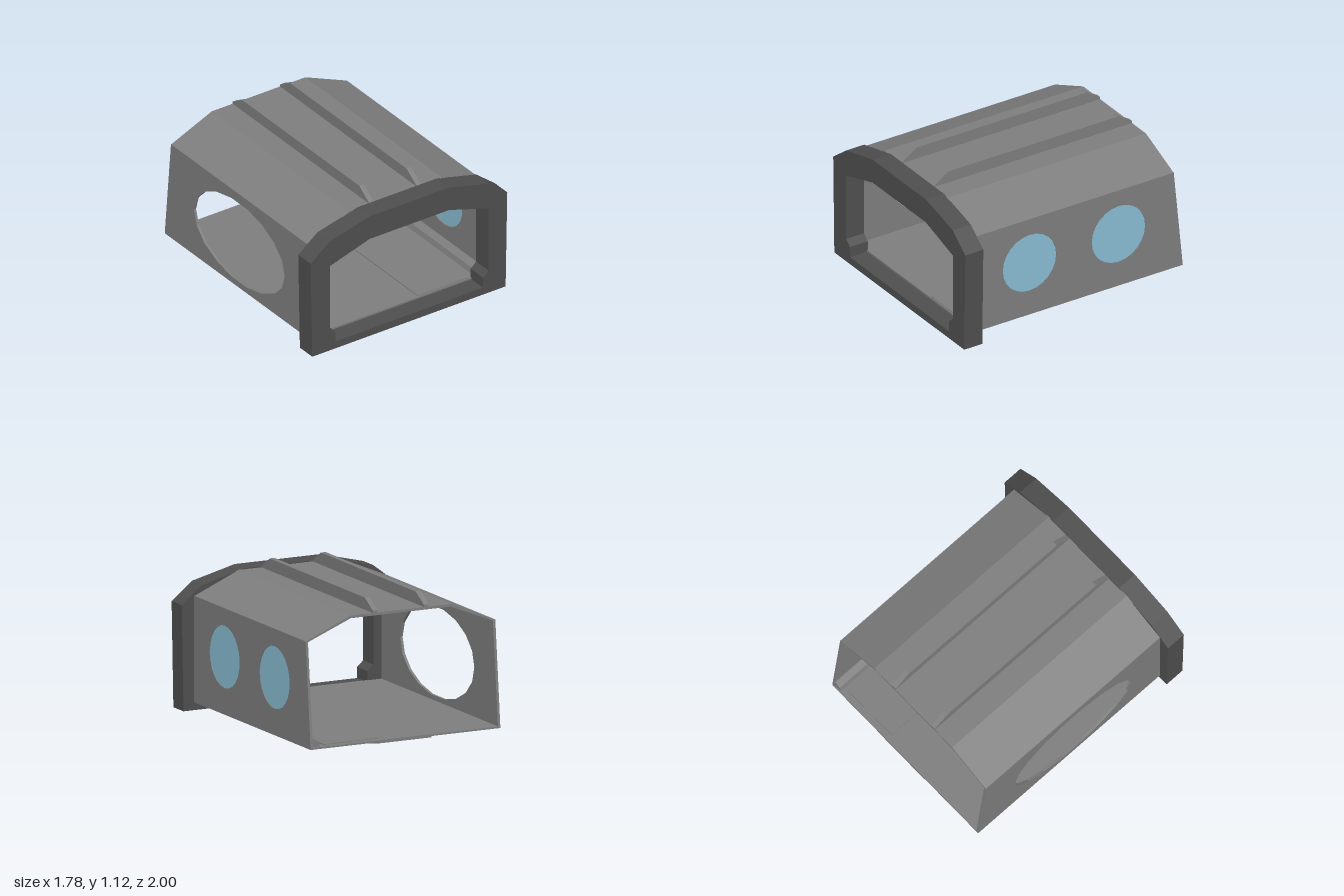
import * as THREE from 'three';

export function createModel() {
  const model = new THREE.Group();
  const mat = (name, color) => {
    const m = new THREE.MeshStandardMaterial({ color });
    m.name = name;
    return m;
  };
  const hull = mat('hull grey', 0x7e7e7e);
  const dark = mat('frame dark grey', 0x4f4f4f);
  const glass = mat('window blue', 0x89bcd2);

  const add = (name, geometry, material) => {
    const mesh = new THREE.Mesh(geometry, material);
    mesh.name = name;
    model.add(mesh);
    return mesh;
  };
  const vectors = pts => pts.map(([x, y]) => new THREE.Vector2(x, y));
  const oval = (cx, cy, rx, ry, n) => Array.from({ length: n }, (_, i) => {
    const a = (i / n) * Math.PI * 2;
    return [cx + rx * Math.cos(a), cy + ry * Math.sin(a)];
  });
  // Extrude an outline with polygonal holes
  const extrude = (pts, depth, holes = []) => {
    const shape = new THREE.Shape(vectors(pts));
    shape.holes = holes.map(h => new THREE.Path(vectors(h)));
    return new THREE.ExtrudeGeometry(shape, { depth, bevelEnabled: false });
  };
  // Outline given in (x, y), running from z0 to z1
  const alongZ = (pts, z0, z1, holes) => extrude(pts, z1 - z0, holes).translate(0, 0, z0);
  // Outline given in (z, y), running from x0 to x1
  const alongX = (pts, x0, x1, holes) =>
    extrude(pts, x1 - x0, holes).rotateY(-Math.PI / 2).translate(x1, 0, 0);

  // Front frame with chamfered arch and notched lower corners
  add('frontFrame', alongZ(
    [[-0.88, 0], [0.875, 0], [0.89, 0.81], [0.72, 0.945], [0.36, 1.035],
      [-0.36, 1.035], [-0.72, 0.945], [-0.895, 0.81]],
    0.84, 1,
    [[[-0.67, 0.06], [-0.67, 0.145], [-0.72, 0.19], [-0.72, 0.73], [-0.36, 0.84],
      [0.36, 0.84], [0.72, 0.73], [0.72, 0.19], [0.67, 0.145], [0.67, 0.06]]]), dark);

  // Side walls with a raked rear edge: two windows on the left, a doorway on the right
  const wall = [[-1, 0.06], [0.845, 0.06], [0.845, 0.87], [-0.92, 0.87]];
  const windows = [0.36, -0.43].map(z => oval(z, 0.5, 0.238, 0.238, 24));
  add('leftWall', alongX(wall, 0.765, 0.785, windows), hull);
  windows.forEach(w => add('window', alongX(w, 0.773, 0.781), glass));
  add('rightWall', alongX(wall, -0.81, -0.79, [oval(-0.04, 0.45, 0.585, 0.345, 18)]), hull);

  // Roof shell, open underneath
  add('roof', alongZ(
    [[0.785, 0.868], [0.41, 1.027], [-0.44, 1.027], [-0.81, 0.868],
      [-0.79, 0.862], [-0.435, 1.007], [0.405, 1.007], [0.765, 0.862]],
    -0.92, 0.845), hull);

  // Two roof rails with sloping ends
  for (const x of [-0.23, 0.2]) {
    add('roofRail', alongX(
      [[0.845, 1.02], [0.845, 1.03], [0.71, 1.12], [-0.79, 1.12], [-0.92, 1.045], [-0.92, 1.02]],
      x - 0.02, x + 0.02), hull);
  }

  // Floor, raised floor panel and underside skid
  add('floor', new THREE.BoxGeometry(1.59, 0.014, 1.85).translate(-0.013, 0.067, -0.075), hull);
  add('floorPanel', new THREE.BoxGeometry(0.46, 0.007, 1.79).translate(0.42, 0.0775, -0.055), hull);
  add('undersideSkid', alongX(
    [[0.845, 0.06], [-1, 0.06], [-1, 0.05], [-0.85, 0.02], [0.78, 0.02], [0.845, 0.03]],
    -0.23, 0.21), hull);

  // Sloped strip in the corner between floor and left wall
  add('cornerStrip', alongZ(
    [[0.7, 0.07], [0.775, 0.07], [0.775, 0.145], [0.76, 0.145], [0.715, 0.115]],
    -0.99, 0.845), hull);

  return model;
}
